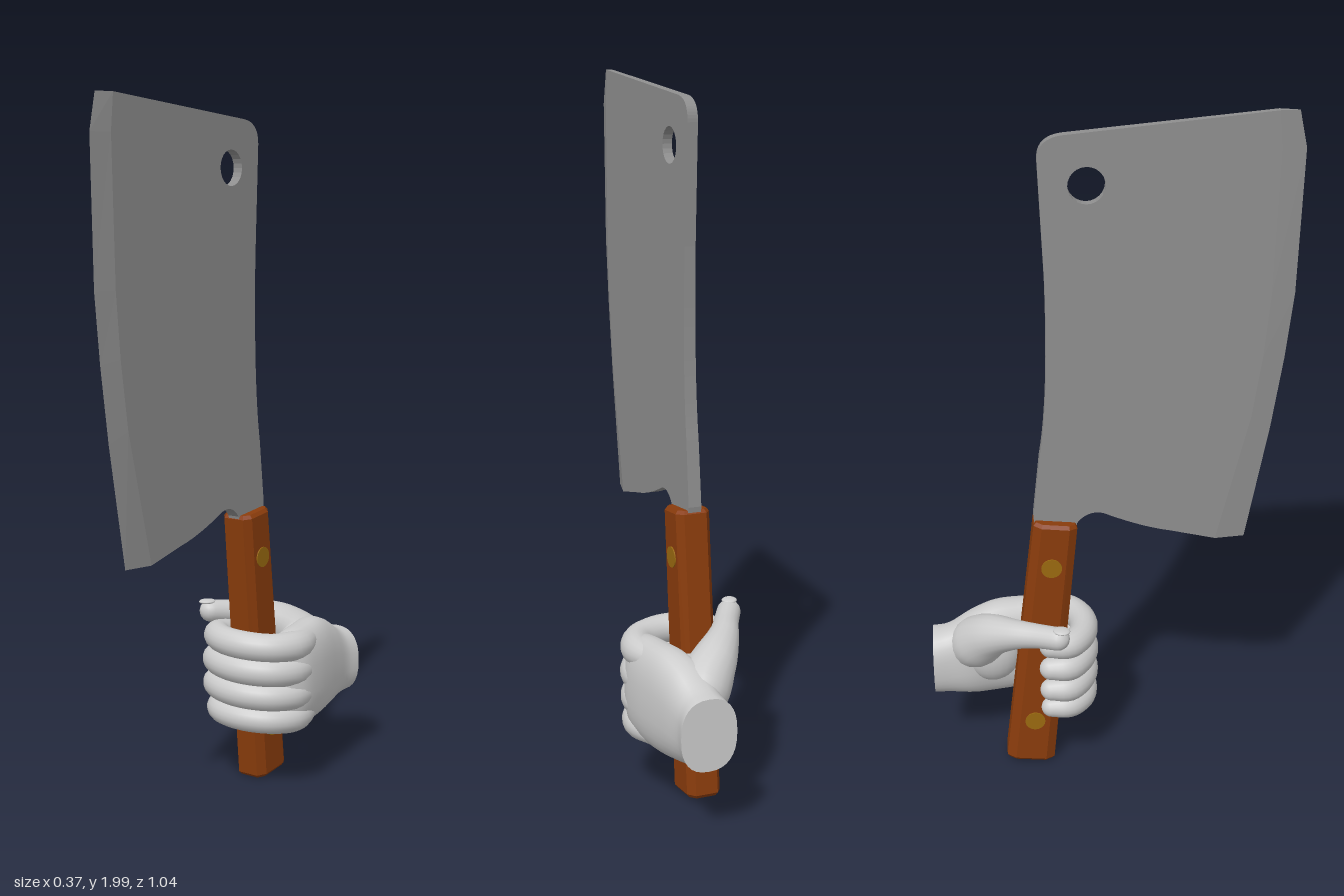
import * as THREE from 'three';

const V = (x, y, z) => new THREE.Vector3(x, y, z);
const skin = new THREE.MeshStandardMaterial({ color: 0xcccccc });
const steel = new THREE.MeshStandardMaterial({ color: 0x8e8e8e });
const wood = new THREE.MeshStandardMaterial({ color: 0x8a3c0c });
const brass = new THREE.MeshStandardMaterial({ color: 0x9a6a10 });

function part(name, geometry, material, parent) {
  const mesh = new THREE.Mesh(geometry, material);
  mesh.name = name;
  parent.add(mesh);
  return mesh;
}

// Skin over closed rings, with sharp flat caps at both ends
function loft(rings) {
  const n = rings[0].length;
  const collapse = ring => {
    const c = ring.reduce((s, p) => s.add(p), V(0, 0, 0)).divideScalar(n);
    return ring.map(() => c);
  };
  const first = rings[0], last = rings[rings.length - 1];
  const all = [collapse(first), first, ...rings, last, collapse(last)];
  const index = [];
  for (let i = 0; i < all.length - 1; i++) {
    for (let j = 0; j < n; j++) {
      const k = (j + 1) % n;
      const a = i * n + j, b = i * n + k, c = b + n, d = a + n;
      index.push(a, b, c, a, c, d);
    }
  }
  const g = new THREE.BufferGeometry().setFromPoints(all.flat());
  g.setIndex(index);
  g.computeVertexNormals();
  return g;
}

// Tapered digit along a smooth path with a rounded tip; each point is [x, y, z, radius]
function digit(points, sides = 18, steps = 30) {
  const path = new THREE.CatmullRomCurve3(points.map(p => V(p[0], p[1], p[2])));
  const size = new THREE.CatmullRomCurve3(points.map((p, i) => V(p[3], i, 0)));
  const rings = [];
  const addRing = (c, t, r) => {
    const b = t.clone().cross(V(0, 1, 0)).normalize();
    const n = b.clone().cross(t);
    rings.push(Array.from({ length: sides }, (_, j) => {
      const a = j / sides * Math.PI * 2;
      return c.clone().addScaledVector(n, r * Math.cos(a)).addScaledVector(b, r * Math.sin(a));
    }));
  };
  for (let i = 0; i <= steps; i++) {
    const t = i / steps;
    addRing(path.getPoint(t), path.getTangent(t), size.getPoint(t).x);
  }
  const end = path.getPoint(1), dir = path.getTangent(1), r = size.getPoint(1).x;
  for (let k = 1; k <= 5; k++) {
    const a = k / 5 * Math.PI / 2;
    addRing(end.clone().addScaledVector(dir, r * Math.sin(a)), dir, Math.max(r * Math.cos(a), 0.0005));
  }
  return loft(rings);
}

// Blade thins toward the top and toward the cutting edge
const thickness = (z, y) => 0.038 - 0.009 * (y - 0.8) / 1.2 - 0.009 * (z + 0.2) / 0.65;
const BLADE_X = -0.021;

function makeBlade() {
  const blade = new THREE.Group();
  blade.name = 'blade';

  // Stations from heel to tip: [bevel z, bevel y, edge z, edge y]
  const stations = [
    [0.313, 0.753, 0.398, 0.753], [0.403, 1.13, 0.46, 1.10], [0.43, 1.32, 0.49, 1.31],
    [0.446, 1.5, 0.51, 1.5], [0.456, 1.9, 0.52, 1.9], [0.446, 2.0, 0.498, 2.0],
  ];

  // Flat body with hanging hole
  const s = new THREE.Shape();
  s.moveTo(0.446, 2.0);
  s.lineTo(-0.115, 1.948);
  s.quadraticCurveTo(-0.182, 1.94, -0.181, 1.88);
  s.lineTo(-0.167, 1.555);
  s.quadraticCurveTo(-0.16, 1.2, -0.19, 1.03);
  s.lineTo(-0.21, 0.845);
  s.lineTo(-0.2, 0.76);
  s.lineTo(-0.1, 0.76);
  s.lineTo(-0.085, 0.822);
  s.quadraticCurveTo(-0.055, 0.862, -0.01, 0.85);
  s.quadraticCurveTo(0.1, 0.8, 0.18, 0.785);
  for (const [z, y] of stations.slice(0, -1)) s.lineTo(z, y);
  const hole = new THREE.Path();
  hole.absarc(-0.053, 1.814, 0.05, 0, Math.PI * 2, true);
  s.holes.push(hole);
  const body = new THREE.ExtrudeGeometry(s, { depth: 1, bevelEnabled: false, curveSegments: 12 });
  body.rotateY(-Math.PI / 2);
  const p = body.attributes.position;
  for (let i = 0; i < p.count; i++) {
    p.setX(i, BLADE_X + (p.getX(i) + 0.5) * thickness(p.getZ(i), p.getY(i)));
  }
  body.computeVertexNormals();
  part('bladeBody', body, steel, blade);

  // Ground wedge along the cutting edge
  const wedge = loft(stations.map(([bz, by, ez, ey]) => {
    const h = thickness(bz, by) / 2;
    return [V(BLADE_X + h, by, bz), V(BLADE_X - h, by, bz), V(-0.027, ey, ez)];
  })).toNonIndexed();
  wedge.computeVertexNormals();
  part('cuttingEdge', wedge, steel, blade);
  return blade;
}

function makeHandle() {
  const handle = new THREE.Group();
  handle.name = 'handle';
  const w = 0.05, d = 0.072, cx = 0.017, cz = 0.026, len = 0.82;

  // Octagonal grip, a little deeper at the butt
  const outline = [[w, d - cz], [w - cx, d], [cx - w, d], [-w, d - cz],
    [-w, cz - d], [cx - w, -d], [w - cx, -d], [w, cz - d]];
  const shape = new THREE.Shape(outline.map(([x, y]) => new THREE.Vector2(x, y)));
  const g = new THREE.ExtrudeGeometry(shape, {
    depth: len - 0.02, bevelEnabled: true, bevelThickness: 0.01,
    bevelSize: 0.008, bevelOffset: -0.008, bevelSegments: 1,
  });
  g.translate(0, 0, 0.01).rotateX(-Math.PI / 2);
  const p = g.attributes.position;
  for (let i = 0; i < p.count; i++) p.setZ(i, p.getZ(i) * (1 - 0.13 * p.getY(i) / len));
  g.computeVertexNormals();
  part('grip', g, wood, handle);

  // Rivets through both sides
  for (const y of [0.15, 0.683]) {
    const rivet = new THREE.CylinderGeometry(0.03, 0.03, 0.106, 20).rotateZ(Math.PI / 2);
    part('rivet', rivet, brass, handle).position.y = y;
  }
  handle.position.set(-0.022, 0.014, -0.235);
  handle.rotation.x = 0.107;
  return handle;
}

function makeHand() {
  const hand = new THREE.Group();
  hand.name = 'hand';

  // Wrist and palm sections: [z, x min, x max, y min, y max]
  const sections = [
    [-0.517, -0.016, 0.145, 0.21, 0.415], [-0.47, -0.008, 0.138, 0.205, 0.425],
    [-0.40, -0.002, 0.15, 0.192, 0.465], [-0.33, 0.018, 0.164, 0.185, 0.487],
    [-0.25, 0.035, 0.176, 0.185, 0.487], [-0.18, 0.05, 0.176, 0.19, 0.482],
    [-0.13, 0.06, 0.155, 0.205, 0.465], [-0.11, 0.08, 0.13, 0.24, 0.43],
  ];
  const mid = new THREE.CatmullRomCurve3(sections.map(([z, a, b, c, d]) => V((a + b) / 2, (c + d) / 2, z)));
  const half = new THREE.CatmullRomCurve3(sections.map(([z, a, b, c, d]) => V((b - a) / 2, (d - c) / 2, z)));
  const soft = v => Math.sign(v) * Math.pow(Math.abs(v), 0.82);
  const rings = [];
  for (let i = 0; i <= 28; i++) {
    const c = mid.getPoint(i / 28), h = half.getPoint(i / 28);
    rings.push(Array.from({ length: 32 }, (_, j) => {
      const a = j / 32 * Math.PI * 2;
      return V(c.x + h.x * soft(Math.cos(a)), c.y + h.y * soft(Math.sin(a)), c.z);
    }));
  }
  part('palm', loft(rings), skin, hand);

  // Four fingers curled round the grip: [height, scale of radius, reach of tip]
  const fingers = [[0.447, 1, -0.108], [0.374, 1.03, -0.112], [0.3, 1, -0.112], [0.229, 0.92, -0.1]];
  fingers.forEach(([y, k, tip]) => {
    part('finger', digit([
      [0.118, y - 0.008, -0.27, 0.034 * k], [0.136, y - 0.008, -0.175, 0.044 * k],
      [0.103, y - 0.004, -0.102, 0.042 * k], [0.03, y, -0.068, 0.042 * k],
      [-0.05, y + 0.002, -0.076, 0.041 * k], [tip + 0.005, y + 0.003, -0.118, 0.04 * k],
      [tip, y + 0.003, -0.17, 0.033 * k],
    ]), skin, hand);
  });

  // Thumb reaching round the far side, with its nail
  part('thumb', digit([
    [0.075, 0.34, -0.43, 0.06], [0.03, 0.39, -0.385, 0.078], [-0.025, 0.445, -0.34, 0.064],
    [-0.08, 0.48, -0.275, 0.045], [-0.117, 0.495, -0.21, 0.036], [-0.152, 0.505, -0.15, 0.034],
  ]), skin, hand);
  const nail = part('thumbNail', new THREE.SphereGeometry(1, 16, 10), skin, hand);
  nail.scale.set(0.022, 0.007, 0.026);
  nail.position.set(-0.158, 0.535, -0.14);
  nail.rotation.y = -0.5;

  // Heel of the thumb and the web behind the grip
  const heel = part('thumbHeel', new THREE.SphereGeometry(1, 24, 16), skin, hand);
  heel.scale.set(0.065, 0.11, 0.09);
  heel.position.set(0.04, 0.36, -0.34);
  return hand;
}

export function createModel() {
  const model = new THREE.Group();
  model.name = 'cleaverInHand';
  model.add(makeBlade(), makeHandle(), makeHand());
  return model;
}
